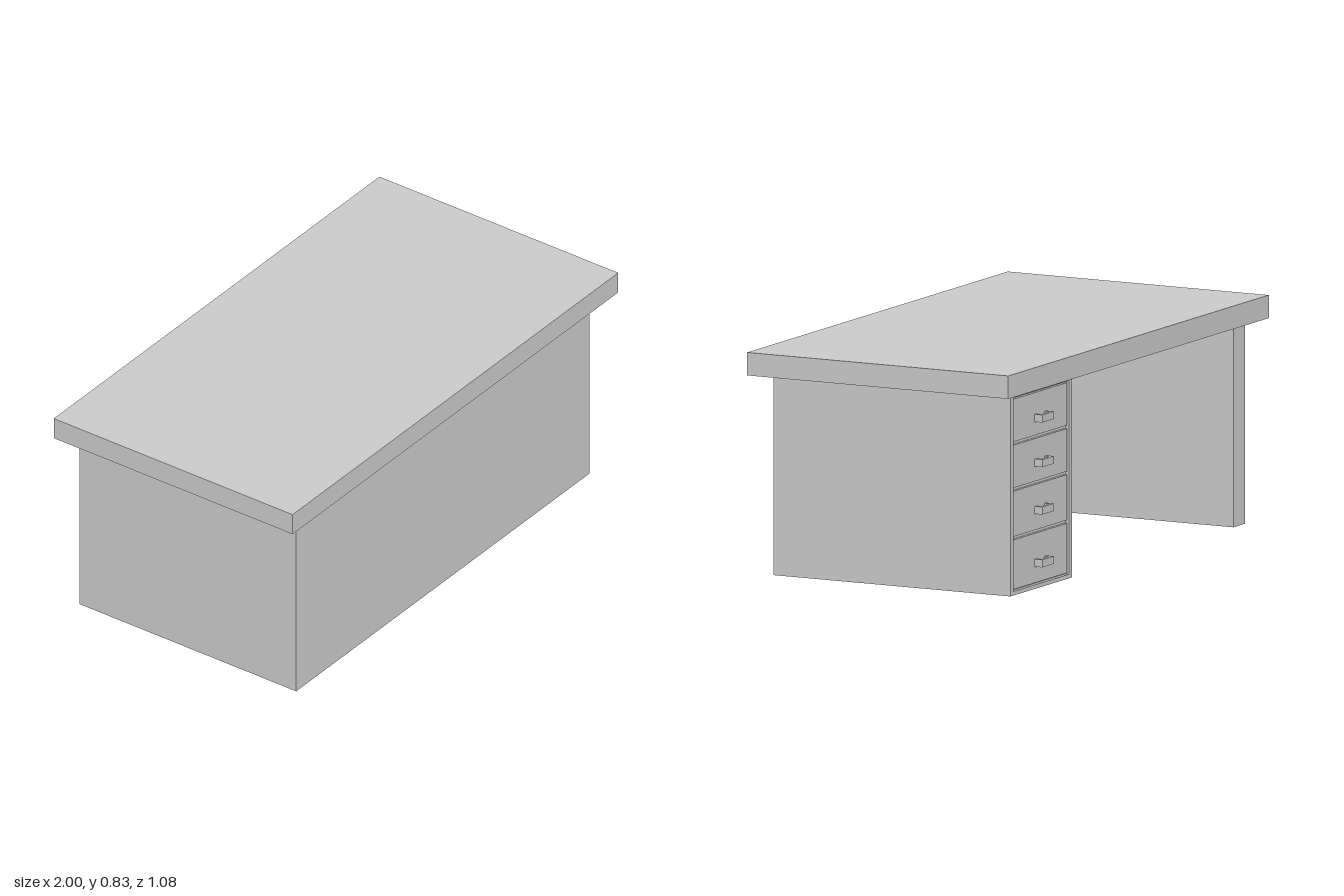
import * as THREE from 'three';

const material = new THREE.MeshStandardMaterial({ color: 0xcccccc, flatShading: true });

// Box given by its extents on each axis
function block(name, [x0, x1], [y0, y1], [z0, z1]) {
  const mesh = new THREE.Mesh(new THREE.BoxGeometry(x1 - x0, y1 - y0, z1 - z0), material);
  mesh.position.set((x0 + x1) / 2, (y0 + y1) / 2, (z0 + z1) / 2);
  mesh.name = name;
  return mesh;
}

// Rectangular outline, usable as a shape or a hole
function rectangle(Type, x0, x1, y0, y1) {
  return new Type([[x0, y0], [x1, y0], [x1, y1], [x0, y1]].map(p => new THREE.Vector2(...p)));
}

// Bar pull on two posts, facing -z
function createHandle(x, y, z) {
  const handle = new THREE.Group();
  handle.name = 'drawerHandle';
  for (const side of [-1, 1]) {
    const px = side * 0.038;
    handle.add(block('handlePost', [px - 0.007, px + 0.007], [-0.014, 0.014], [-0.02, 0]));
  }
  handle.add(block('handleBar', [-0.045, 0.045], [-0.014, 0.014], [-0.032, -0.02]));
  handle.position.set(x, y, z);
  return handle;
}

export function createModel() {
  const desk = new THREE.Group();
  desk.name = 'desk';

  const height = 0.75, left = 0.89, right = -0.91, depth = 0.49;
  const pedestalInner = 0.416, recess = 0.015;

  // Top slab, closed front panel and side leg
  desk.add(block('desktop', [-1, 1], [height, 0.835], [-0.54, 0.54]));
  desk.add(block('frontPanel', [right, left], [0, height], [depth - 0.02, depth]));
  desk.add(block('sideLeg', [right, right + 0.09], [0, height], [-depth, depth - 0.02]));

  // Drawer pedestal: solid body with a raised frame around the drawers
  const pedestal = new THREE.Group();
  pedestal.name = 'drawerPedestal';
  pedestal.add(block('pedestalBody', [pedestalInner, left], [0, height], [-depth + recess, depth - 0.02]));

  const x0 = pedestalInner + 0.025, x1 = left - 0.025;
  const outline = rectangle(THREE.Shape, pedestalInner, left, 0, height);
  outline.holes.push(rectangle(THREE.Path, x0, x1, 0.015, 0.73));
  const frame = new THREE.Mesh(
    new THREE.ExtrudeGeometry(outline, { depth: recess, bevelEnabled: false }), material);
  frame.position.z = -depth;
  frame.name = 'drawerFrame';
  pedestal.add(frame);

  // Four drawers, slightly recessed, with narrow gaps between them
  const levels = [0.015, 0.21, 0.39, 0.56, 0.73];
  const handleHeights = [0.095, 0.29, 0.465, 0.63];
  const gap = 0.006, drawerFace = -depth + 0.004;
  handleHeights.forEach((y, i) => {
    const drawer = new THREE.Group();
    drawer.name = 'drawer';
    drawer.add(block('drawerFront', [x0 + gap, x1 - gap],
      [levels[i] + gap, levels[i + 1] - gap], [drawerFace, -depth + recess]));
    drawer.add(createHandle((x0 + x1) / 2, y, drawerFace));
    pedestal.add(drawer);
  });
  desk.add(pedestal);

  return desk;
}
